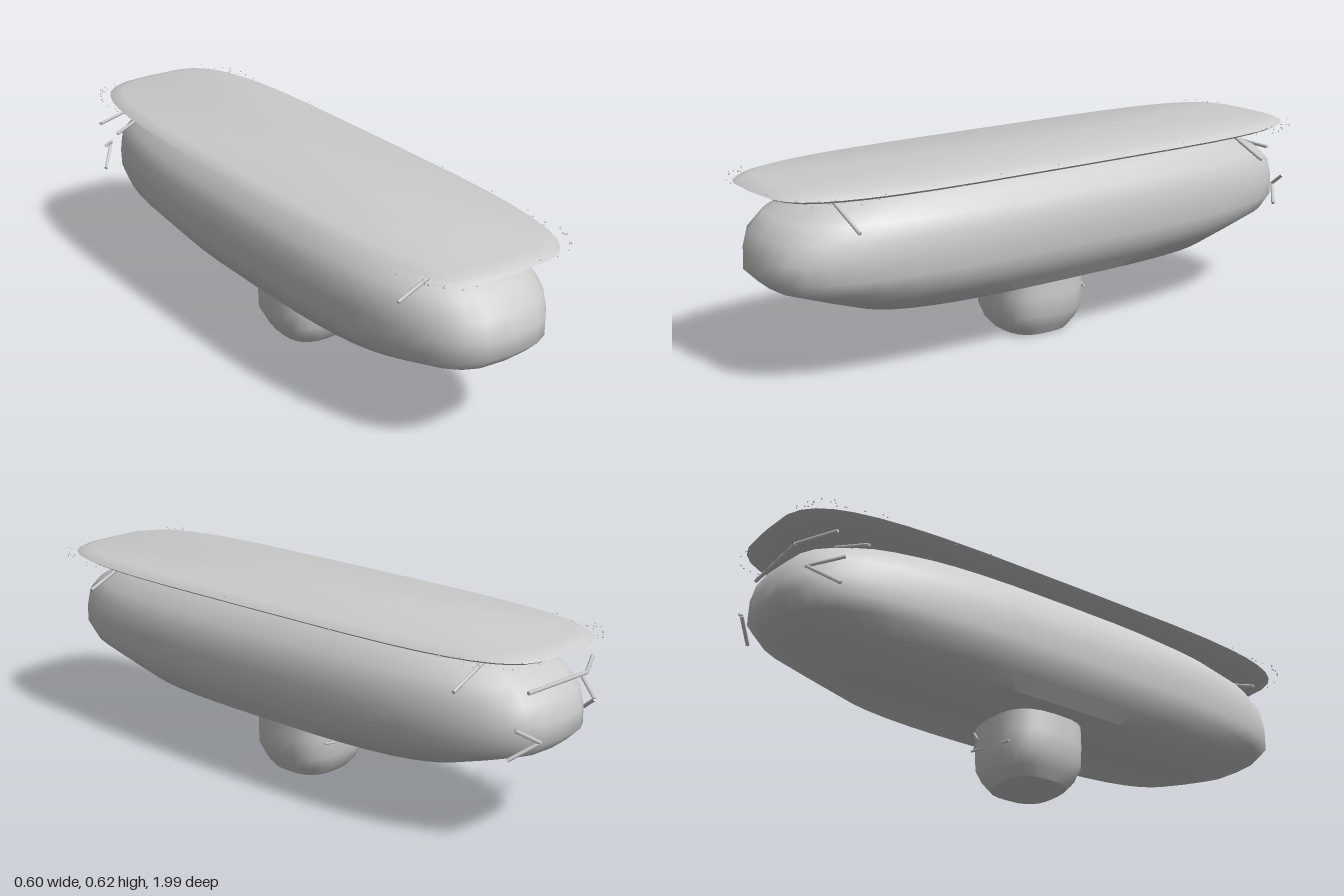
import * as THREE from 'three';
import { toCreasedNormals } from 'three/addons/utils/BufferGeometryUtils.js';

const material = new THREE.MeshStandardMaterial({ color: 0xcccccc, roughness: 0.9 });

// Point on a rounded-rectangle outline (superellipse) in plan
function outline(angle, halfX, halfZ, power) {
  const c = Math.cos(angle), s = Math.sin(angle);
  return [
    halfX * Math.sign(c) * Math.abs(c) ** (2 / power),
    halfZ * Math.sign(s) * Math.abs(s) ** (2 / power),
  ];
}

// Closed solid through stacked outlines, each [y, halfX, halfZ], bottom to top
function stack(name, levels, power, sides, crease) {
  const rings = [[levels[0][0], 0, 0], ...levels, [levels.at(-1)[0], 0, 0]];
  const positions = [], index = [];
  rings.forEach(([y, hx, hz], r) => {
    for (let i = 0; i < sides; i++) {
      const [x, z] = outline((i / sides) * Math.PI * 2, hx, hz, power);
      positions.push(x, y, z);
      if (r === rings.length - 1) continue;
      const a = r * sides + i, b = r * sides + ((i + 1) % sides);
      if (r > 0) index.push(a, a + sides, b);
      if (r < rings.length - 2) index.push(b, a + sides, b + sides);
    }
  });
  // Fan for the bottom cap is wound from the collapsed first ring
  const geometry = new THREE.BufferGeometry();
  geometry.setAttribute('position', new THREE.Float32BufferAttribute(positions, 3));
  geometry.setIndex(index);
  const mesh = new THREE.Mesh(toCreasedNormals(geometry, crease), material);
  mesh.name = name;
  return mesh;
}

// Thin bent twig made of straight rods
function twig(name, points, radius = 0.006) {
  const group = new THREE.Group();
  group.name = name;
  const up = new THREE.Vector3(0, 1, 0);
  for (let i = 0; i < points.length - 1; i++) {
    const a = new THREE.Vector3(...points[i]), b = new THREE.Vector3(...points[i + 1]);
    const direction = b.clone().sub(a);
    const rod = new THREE.Mesh(new THREE.CylinderGeometry(radius, radius, direction.length(), 6), material);
    rod.name = 'twigRod';
    rod.position.copy(a).add(b).multiplyScalar(0.5);
    rod.quaternion.setFromUnitVectors(up, direction.normalize());
    group.add(rod);
  }
  return group;
}

export function createModel() {
  const model = new THREE.Group();
  model.name = 'balancedStone';

  // Short foot under the middle
  model.add(stack('foot', [
    [0, 0.112, 0.11], [0.03, 0.132, 0.138], [0.075, 0.156, 0.155], [0.14, 0.157, 0.158], [0.22, 0.156, 0.156],
  ], 2.8, 24, 0.8));

  // Long rounded body
  model.add(stack('body', [
    [0.21, 0.215, 0.7], [0.255, 0.25, 0.83], [0.3, 0.285, 0.95], [0.345, 0.295, 0.995], [0.4, 0.3, 0.992],
    [0.46, 0.298, 0.975], [0.51, 0.28, 0.925], [0.555, 0.243, 0.82], [0.59, 0.2, 0.7],
  ], 3.1, 40, 0.9));

  // Flat slab on top with a thin bevelled rim
  model.add(stack('slab', [
    [0.586, 0.24, 0.93], [0.592, 0.282, 0.978], [0.601, 0.297, 0.996], [0.612, 0.284, 0.98], [0.621, 0.262, 0.94],
  ], 4, 40, 0.5));

  // Sloping twigs beneath the slab at both ends
  for (const z of [0.79, -0.79]) {
    for (const side of [1, -1]) {
      model.add(twig('slopingTwig', [[0.055 * side, 0.588, z], [0.265 * side, 0.5, z]]));
    }
  }

  // Bent twigs on the back of the body and foot
  model.add(twig('longTwig', [[0.13, 0.5, -0.95], [-0.14, 0.5, -0.965], [-0.27, 0.505, -0.9]]));
  model.add(twig('bentTwig', [[-0.27, 0.43, -0.87], [-0.2, 0.4, -0.96], [-0.27, 0.34, -0.88]]));
  model.add(twig('bentTwig', [[0.2, 0.41, -0.96], [0.12, 0.36, -0.992], [0.19, 0.31, -0.93]]));
  model.add(twig('footTwig', [[0.1, 0.13, -0.152], [-0.1, 0.1, -0.15]], 0.004));
  model.add(twig('footTwig', [[0.09, 0.19, -0.15], [0.06, 0.16, -0.158], [0.09, 0.13, -0.15]], 0.004));

  // Tiny crumbs scattered round the slab rim
  let seed = 7;
  const random = () => (seed = (seed * 16807) % 2147483647) / 2147483647;
  const crumb = new THREE.IcosahedronGeometry(0.0025, 0);
  const crumbs = new THREE.Group();
  crumbs.name = 'crumbs';
  for (let i = 0; i < 80; i++) {
    const [x, z] = outline(random() * Math.PI * 2, 0.29, 0.985, 7);
    const mesh = new THREE.Mesh(crumb, material);
    mesh.name = 'crumb';
    mesh.position.set(x, 0.59 + random() * 0.025, z);
    crumbs.add(mesh);
  }
  model.add(crumbs);
  return model;
}
